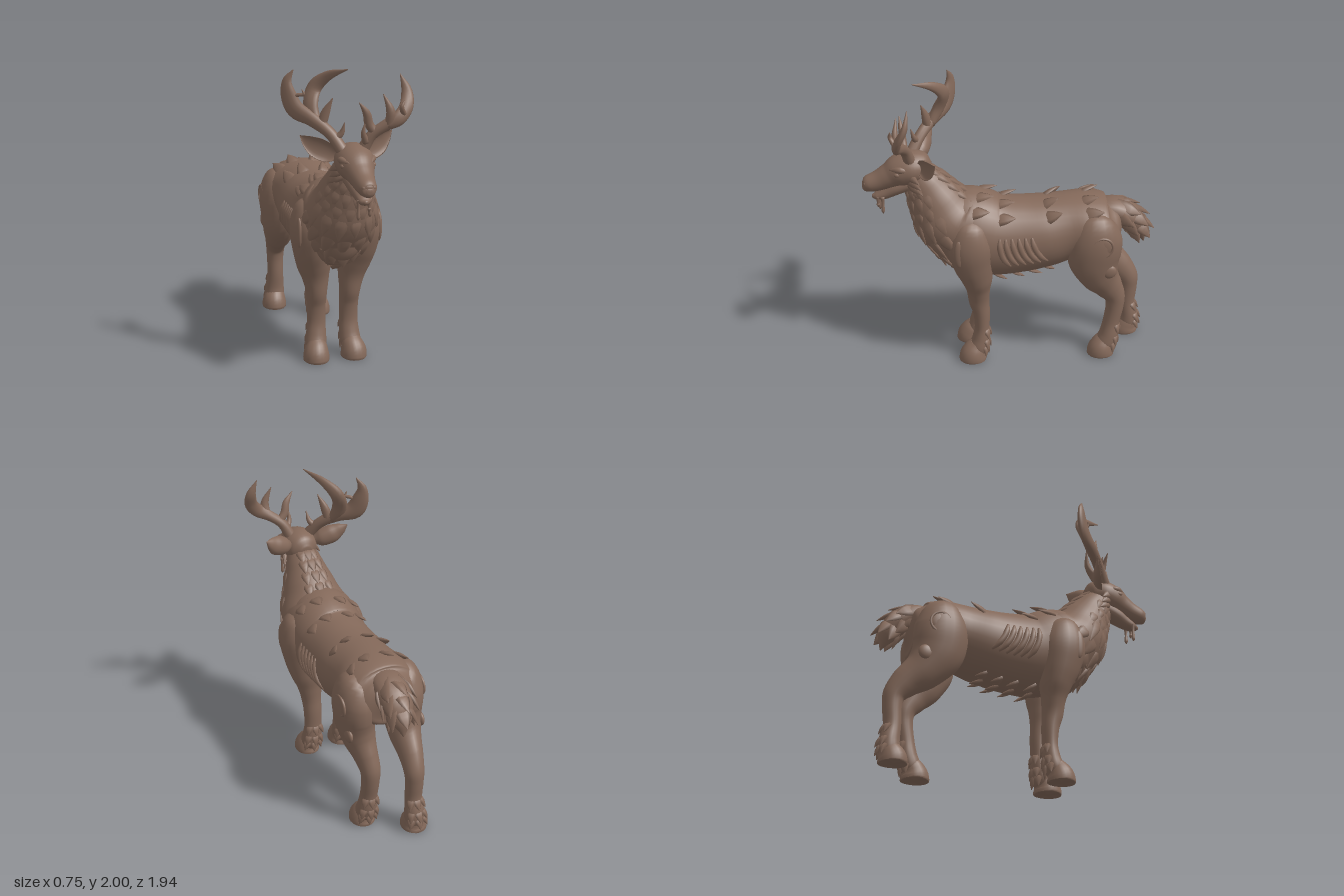
import * as THREE from 'three';
import { mergeGeometries, toCreasedNormals } from 'three/addons/utils/BufferGeometryUtils.js';

const V = (x, y, z) => new THREE.Vector3(x, y, z);
const X = V(1, 0, 0), Y = V(0, 1, 0);
const hide = new THREE.MeshStandardMaterial({ color: 0x84695a });
hide.name = 'brownHide';

let seed = 7;
const rnd = () => (seed = (seed * 16807) % 2147483647) / 2147483647;

// Smooth body through rings [x, y, z, width, depth]; ref fixes the width direction.
function sampler(rings, ref = X) {
  const path = new THREE.CatmullRomCurve3(rings.map(r => V(r[0], r[1], r[2])));
  const size = new THREE.CatmullRomCurve3(rings.map(r => V(r[3], r[4] ?? r[3], 0)), false, 'catmullrom', 0.4);
  return (t, a, cup = 0) => {
    const c = path.getPoint(t), T = path.getTangent(t), r = size.getPoint(t);
    const U = ref.clone().cross(T).normalize(), S = T.clone().cross(U);
    let s = Math.sin(a);
    if (cup && s * cup > 0) s *= -0.45;
    const n = S.multiplyScalar(Math.max(r.x, 0.001) * Math.cos(a)).addScaledVector(U, Math.max(r.y, 0.001) * s);
    return { c, T, p: c.clone().add(n), n: n.clone().normalize() };
  };
}

function loft(rings, { ref = X, sides = 20, steps = 5, cup = 0 } = {}) {
  const at = sampler(rings, ref), rows = (rings.length - 1) * steps, pos = [], idx = [];
  for (let i = 0; i <= rows; i++)
    for (let j = 0; j < sides; j++) pos.push(...at(i / rows, j / sides * Math.PI * 2, cup).p.toArray());
  const start = (rows + 1) * sides, end = start + 1;
  pos.push(...at(0, 0).c.toArray(), ...at(1, 0).c.toArray());
  for (let j = 0; j < sides; j++) {
    const k = (j + 1) % sides, last = rows * sides;
    for (let i = 0; i < rows; i++) {
      const a = i * sides + j, b = i * sides + k;
      idx.push(a, a + sides, b, b, a + sides, b + sides);
    }
    idx.push(start, j, k, end, last + k, last + j);
  }
  const g = new THREE.BufferGeometry();
  g.setAttribute('position', new THREE.Float32BufferAttribute(pos, 3));
  g.setIndex(idx);
  g.computeVertexNormals();
  return g;
}

// Pointed lock of fur whose broad base sinks into the surface.
function tuft(p, dir, n, len, w) {
  const d = dir.clone().normalize(), ref = d.clone().cross(n).normalize();
  const ring = (k, lift, rx, ry) => [...p.clone().addScaledVector(d, len * k).addScaledVector(n, lift).toArray(), rx, ry];
  return loft([ring(-0.7, -0.04, w, 0.008), ring(0, -0.008, w * 1.05, 0.014),
    ring(0.5, 0, w * 0.7, 0.012), ring(1, 0.006, 0.002, 0.002)], { ref, sides: 6, steps: 2 });
}

function blob(x, y, z, sx, sy, sz) {
  const g = new THREE.SphereGeometry(1, 20, 14);
  g.scale(sx, sy, sz);
  g.translate(x, y, z);
  return g;
}

export function createModel() {
  const model = new THREE.Group(), body = new THREE.Group();
  body.name = 'body';
  body.position.x = 0.01;
  model.add(body);
  const add = (name, geos, parent = body) => {
    const list = [].concat(geos);
    const mesh = new THREE.Mesh(list.length > 1 ? mergeGeometries(list) : list[0], hide);
    mesh.name = name;
    parent.add(mesh);
  };

  // Torso, neck and tail
  const torso = [[0, .95, .55, .04, .06], [0, .95, .5, .13, .2], [0, .96, .42, .21, .27], [0, .96, .28, .26, .3],
    [0, .915, .12, .255, .285], [0, .912, -.05, .25, .27], [0, .93, -.22, .252, .25], [0, .96, -.38, .24, .228],
    [0, .97, -.52, .265, .218], [0, .96, -.64, .24, .2], [0, .97, -.71, .17, .15], [0, .97, -.75, .04, .04]];
  const neck = [[0, .85, .22, .18, .2], [0, .98, .3, .25, .28], [0, 1.07, .42, .235, .235], [0, 1.2, .5, .18, .19],
    [0, 1.325, .57, .13, .14], [0, 1.42, .63, .09, .09]];
  const tail = [[0, 1.09, -.58, .09, .05], [0, 1.075, -.7, .11, .075], [0, 1.015, -.795, .11, .085],
    [0, .92, -.865, .075, .06], [0, .81, -.905, .005, .005]];
  add('torso', loft(torso, { sides: 32 }));
  add('neck', loft(neck, { sides: 28 }));
  add('tail', loft(tail));

  // Chest mane and crest
  const onNeck = sampler(neck), onTorso = sampler(torso), onTail = sampler(tail), mane = [];
  for (let row = 0; row < 6; row++)
    for (let k = -3; k <= 3; k++) {
      const a = Math.PI / 2 + (k + (row % 2) * 0.5 - 0.25) * 0.46;
      const q = onNeck(0.27 + row * 0.11, a), big = 1 - row * 0.08;
      mane.push(tuft(q.p, q.T.negate().addScaledVector(q.n, 0.14), q.n, (0.11 + 0.05 * rnd()) * big, 0.05 * big));
    }
  for (const [x, y, z] of [[0, .79, .48], [-.07, .82, .475], [.07, .82, .475], [-.13, .87, .46], [.13, .87, .46],
    [0, .88, .525], [-.07, .93, .525], [.07, .93, .525]])
    mane.push(tuft(V(x, y, z), V(-x * 0.6, -1, -0.4), V(x, -0.2, 1).normalize(), 0.11, 0.055));
  add('chestMane', mane);
  const crest = [];
  for (let i = 0; i < 6; i++)
    for (const k of [-0.4, 0, 0.4]) {
      const q = onNeck(0.36 + i * 0.11, -Math.PI / 2 + k);
      crest.push(tuft(q.p, q.T.negate().addScaledVector(q.n, 0.28), q.n, 0.08, 0.035));
    }
  add('neckCrest', crest);

  // Fur along back, belly and tail
  const back = [], belly = [], tailFur = [];
  for (const t of [.27, .36, .56, .7])
    for (const k of [-0.75, -0.3, 0.3, 0.75]) {
      const q = onTorso(t + 0.03 * rnd(), Math.PI / 2 + k);
      back.push(tuft(q.p, q.T.addScaledVector(q.n, 0.2), q.n, 0.1, 0.045));
    }
  for (let i = 0; i < 6; i++)
    for (const k of [-0.35, 0, 0.35]) {
      const q = onTorso(0.28 + i * 0.05, -Math.PI / 2 + k);
      belly.push(tuft(q.p, q.T.addScaledVector(q.n, 0.3), q.n, 0.06 + 0.03 * rnd(), 0.04));
    }
  for (const t of [.35, .52, .68])
    for (let k = 0; k < 6; k++) {
      const q = onTail(t, (k + t * 5) / 6 * Math.PI * 2);
      tailFur.push(tuft(q.p, q.T.addScaledVector(q.n, 0.08), q.n, 0.1, 0.045));
    }
  add('backFur', back);
  add('bellyFur', belly);
  add('tailFur', tailFur);

  // Head
  add('head', loft([[0, 1.43, .52, .04], [0, 1.435, .56, .095, .095], [0, 1.44, .64, .122, .112], [0, 1.42, .72, .114, .107],
    [0, 1.385, .79, .087, .083], [0, 1.352, .86, .07, .068], [0, 1.333, .92, .06, .058], [0, 1.322, .955, .043, .042],
    [0, 1.322, .97, .015, .015]], { sides: 24 }));
  add('lowerJaw', loft([[0, 1.345, .64, .08, .06], [0, 1.305, .74, .07, .052], [0, 1.262, .82, .052, .042],
    [0, 1.24, .88, .038, .026], [0, 1.24, .91, .01]]));
  add('nosePad', blob(0, 1.343, .937, .042, .032, .03));
  add('drool', [[-.035, .86, 1.12], [.03, .87, 1.17], [.045, .84, 1.13]].map(([x, z, y]) =>
    loft([[x, 1.25, z, .014], [x, 1.2, z, .009], [x, y + .02, z, .012], [x, y, z, .003]], { sides: 8 })));

  for (const s of [1, -1]) {
    const side = s > 0 ? 'left' : 'right';
    add(side + 'Eye', blob(s * .098, 1.432, .738, .016, .016, .022));
    add(side + 'Brow', loft([[s * .1, 1.455, .66, .01], [s * .098, 1.465, .72, .022], [s * .065, 1.455, .785, .01]], { ref: Y, sides: 10 }));
    add(side + 'Nostril', blob(s * .03, 1.343, .947, .016, .016, .014));
    add(side + 'CheekFur', [0, 1, 2, 3].map(i =>
      tuft(V(s * .108, 1.42 - i * .04, .66 - i * .01), V(s * .3, -.6, -.8), V(s, 0, .2).normalize(), .08, .03)));
    // Cupped ears
    add(side + 'Ear', loft([[s * .09, 1.47, .61, .03, .035], [s * .145, 1.485, .59, .062, .06], [s * .21, 1.515, .56, .066, .055],
      [s * .26, 1.55, .53, .042, .03], [s * .3, 1.585, .5, .003]], { ref: Y, cup: -s }));

    // Legs: the right hind leg stands further back
    const foreLeg = [[.14, 1.12, .27, .05, .06], [.165, 1.05, .28, .11, .12], [.18, .93, .28, .125, .155], [.165, .8, .265, .122, .138],
      [.138, .67, .24, .115, .108], [.122, .56, .23, .088, .08], [.115, .46, .225, .07, .07], [.113, .37, .21, .064, .058],
      [.112, .25, .207, .062, .051], [.115, .16, .215, .068, .06], [.12, .1, .23, .07, .066], [.125, .05, .25, .06, .06]];
    const hindLeg = [[.11, 1.08, -.55, .07, .06], [.15, 1.03, -.55, .12, .14], [.17, .92, -.55, .13, .18], [.165, .78, -.545, .122, .175],
      [.15, .65, -.585, .105, .135], [.135, .55, -.65, .08, .1], [.125, .46, -.7, .067, .073], [.125, .38, -.705, .06, .062],
      [.125, .25, -.685, .058, .057], [.128, .15, -.67, .068, .066], [.13, .09, -.65, .07, .07], [.132, .05, -.64, .06, .06]];
    const stride = [0, 0, 0, -.02, -.06, -.11, -.13, -.135, -.15, -.18, -.2, -.21];
    const legs = { Front: foreLeg, Hind: hindLeg.map((r, i) => [r[0], r[1], r[2] + (s < 0 ? stride[i] : 0), r[3], r[4]]) };
    for (const [kind, leg] of Object.entries(legs)) {
      const rings = leg.map(r => [s * r[0], ...r.slice(1)]);
      add(side + kind + 'Leg', loft(rings));
      const [x, , z] = rings[11], f = z + .025;
      add(side + kind + 'Hoof', toCreasedNormals(loft([[x, .125, f - .035, .055, .05], [x, .09, f - .02, .073, .072],
        [x * 1.04, .04, f - .003, .086, .09], [x * 1.04, .004, f, .086, .094], [x * 1.04, 0, f, .08, .088]], { steps: 3 }), 0.8));
      // Fetlock fur
      const fur = [], onLeg = sampler(rings);
      for (const t of [.74, .82, .89])
        for (const k of [-0.8, 0, 0.8]) {
          const q = onLeg(t, Math.PI / 2 + k);
          fur.push(tuft(q.p, q.T.addScaledVector(q.n, 0.22), q.n, 0.06, 0.028));
        }
      add(side + kind + 'FetlockFur', fur);
    }

    // Exposed ribs following the flank
    const ribs = [];
    for (let i = 0; i < 6; i++) {
      const pts = [.34, .15, -.05, -.25, -.45].map((a, j) => {
        const q = onTorso((4.1 + i * .27 + j * j * .03) / 11, s > 0 ? a : Math.PI - a);
        const r = j % 4 ? .019 : .008;
        return [...q.p.addScaledVector(q.n, -.002).toArray(), r, r];
      });
      ribs.push(loft(pts, { sides: 8, steps: 3 }));
    }
    add(side + 'Ribs', ribs);

    // Round sores and shoulder scar
    const rim = new THREE.TorusGeometry(.068, .009, 8, 24);
    rim.rotateY(Math.PI / 2);
    rim.translate(s * .284, .93, -.58);
    add(side + 'HaunchSores', [rim, blob(s * .28, .93, -.58, .014, .066, .066),
      blob(s * .25, .725, -.635 - (s < 0 ? .03 : 0), .022, .05, .05)]);
    add(side + 'ShoulderScar', blob(s * .268, .92, .36, .02, .1, .035));
  }

  // Antlers, each with its own spread
  const rightRef = V(1, 0, -1).normalize(), leftRef = V(.2, 0, -1).normalize();
  const antler = (name, ref, branches) =>
    add(name, branches.map(b => loft(b, { ref, sides: 12 })), model);
  antler('rightAntler', rightRef, [
    [[-.05, 1.49, .65, .04], [-.115, 1.6, .58, .036], [-.21, 1.68, .49, .036, .046], [-.295, 1.735, .41, .03, .062],
      [-.325, 1.81, .38, .026, .058], [-.335, 1.9, .37, .018, .034], [-.3, 1.975, .39, .003]],
    [[-.18, 1.65, .51, .03], [-.205, 1.76, .45, .028, .052], [-.175, 1.86, .42, .026, .05], [-.11, 1.94, .48, .018, .032], [-.02, 2, .62, .003]],
    [[-.16, 1.64, .53, .028], [-.14, 1.72, .54, .022, .03], [-.1, 1.82, .57, .003]],
    [[-.1, 1.57, .6, .025], [-.06, 1.61, .62, .018], [-.045, 1.68, .64, .003]],
    [[-.32, 1.77, .39, .016], [-.285, 1.82, .42, .012], [-.25, 1.83, .45, .01], [-.26, 1.86, .45, .003]]]);
  antler('leftAntler', leftRef, [
    [[.06, 1.49, .65, .04], [.115, 1.6, .68, .034], [.19, 1.66, .71, .032, .036], [.265, 1.705, .735, .028, .046],
      [.32, 1.77, .72, .024, .044], [.337, 1.86, .68, .02, .034], [.3, 1.965, .66, .003]],
    [[.14, 1.61, .69, .028], [.095, 1.67, .69, .022, .028], [.075, 1.74, .7, .018, .024], [.025, 1.81, .71, .003]],
    [[.21, 1.66, .72, .028], [.215, 1.75, .74, .022, .028], [.17, 1.86, .73, .003]],
    [[.08, 1.56, .68, .025], [.055, 1.62, .7, .015], [.06, 1.68, .71, .003]],
    [[.3, 1.73, .74, .018], [.275, 1.78, .77, .014], [.29, 1.82, .77, .003]]]);
  return model;
}
